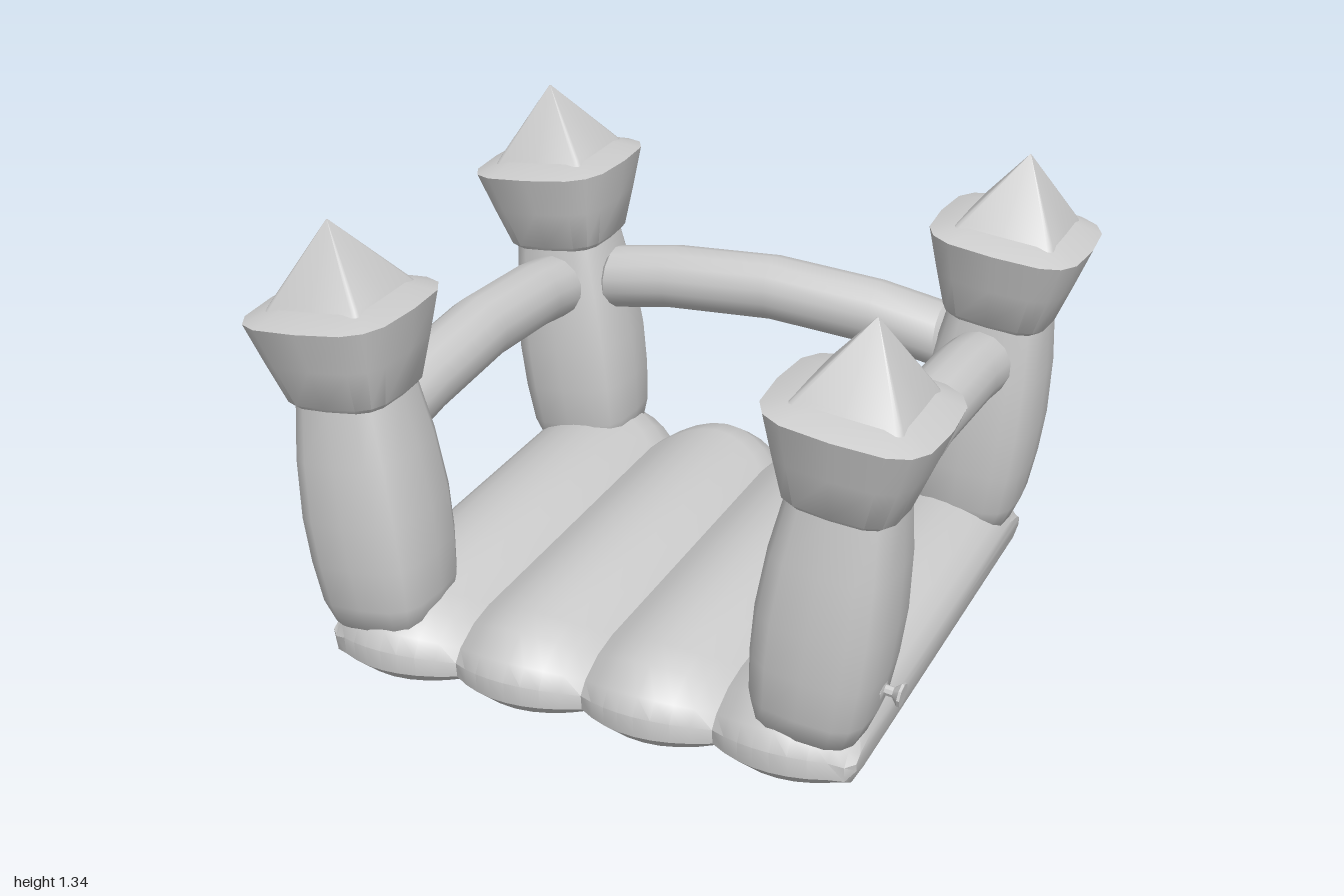
import * as THREE from 'three';
import { toCreasedNormals } from 'three/addons/utils/BufferGeometryUtils.js';

const material = new THREE.MeshStandardMaterial({ color: 0xcccccc });

// Skin a row of closed rings (counter-clockwise seen from the far end) and cap both ends
function loft(rings, crease) {
  const n = rings[0].length, pos = rings.flat(), idx = [];
  const last = (rings.length - 1) * n;
  for (let i = 0; i < last; i += n) {
    for (let j = 0; j < n; j++) {
      const k = (j + 1) % n;
      idx.push(i + j, i + k, i + n + k, i + j, i + n + k, i + n + j);
    }
  }
  const middle = (ring) => [0, 1, 2].map((a) => ring.reduce((s, p) => s + p[a], 0) / n);
  const c0 = pos.length, c1 = c0 + 1;
  const all = [...pos, middle(rings[0]), middle(rings[rings.length - 1])];
  for (let j = 0; j < n; j++) {
    const k = (j + 1) % n;
    idx.push(c0, k, j, c1, last + j, last + k);
  }
  const g = new THREE.BufferGeometry();
  g.setAttribute('position', new THREE.Float32BufferAttribute(all.flat(), 3));
  g.setIndex(idx);
  return toCreasedNormals(g, crease);
}

function add(parent, name, geometry) {
  const mesh = new THREE.Mesh(geometry, material);
  mesh.name = name;
  parent.add(mesh);
  return mesh;
}

// Horizontal rounded-square ring; a higher power gives squarer corners
function squareRing(y, half, power) {
  const ring = [];
  for (let j = 0; j < 16; j++) {
    const a = (j / 16) * Math.PI * 2;
    const f = (v) => (Math.abs(v) < 1e-6 ? 0 : Math.sign(v) * Math.abs(v) ** (2 / power) * half);
    ring.push([f(Math.sin(a)), y, f(Math.cos(a))]);
  }
  return ring;
}

// Inflated floor: four scalloped cushions running front to back
function floorGeometry() {
  const half = [[0, 1], [-0.2, 1], [-0.11, 0.92], [-0.03, 0.7], [0, 0.5], [-0.005, 0.22], [-0.06, 0]];
  const section = (x, h, d, low) => {
    const front = half.map(([dz, f], i) => [x, low + (h - low) * f, i ? d + dz : 0]);
    const back = front.slice(1).reverse().map(([px, y, z]) => [px, y, -z]);
    return [...front, [x, 0 + low, 0], ...back];
  };
  const rings = [];
  const steps = 8;
  for (let i = 1; i < 4 * steps; i++) {
    const x = -0.8 + (i / steps) * 0.4;
    const t = ((i % steps) / steps) * 2 - 1;
    const bulge = 1 - t * t;
    rings.push(section(x, 0.17 + 0.07 * bulge, 0.75 + 0.08 * bulge, 0));
  }
  // rounded outer flanks
  const flank = (s) => [section(s * 0.79, 0.168, 0.765, 0), section(s * 0.815, 0.13, 0.74, 0.045)];
  return loft([...flank(-1).reverse(), ...rings, ...flank(1)], 0.65);
}

// Arched tube along x with blunt rounded ends
function archGeometry(length, radius) {
  const stations = [[-length - 0.04, 0.55], [-length, 1], [-0.35, 1], [0, 1], [0.35, 1], [length, 1], [length + 0.04, 0.55]];
  const rings = stations.map(([x, s]) => {
    const ring = [];
    for (let j = 0; j < 14; j++) {
      const a = (j / 14) * Math.PI * 2;
      ring.push([x, -0.19 * x * x + Math.cos(a) * radius * s, Math.sin(a) * radius * s]);
    }
    return ring;
  });
  return loft(rings, 0.75);
}

export function createModel() {
  const model = new THREE.Group();
  model.name = 'bouncyCastle';
  add(model, 'inflatedFloor', floorGeometry());

  // Corner towers, leaning outward: shaft, flared collar and pointed roof
  const shaft = loft([[-0.05, 0.12], [-0.025, 0.15], [0.05, 0.172], [0.18, 0.183], [0.32, 0.186],
    [0.5, 0.174], [0.67, 0.15]].map(([y, r]) => squareRing(y, r, 3.4)), 0.8);
  const collar = loft([[0.655, 0.145], [0.675, 0.165], [0.8, 0.202], [0.925, 0.237], [0.955, 0.16]]
    .map(([y, r]) => squareRing(y, r, 3.6)), 0.6);
  const roof = loft([[0.93, 0.165], [0.965, 0.143], [1.168, 0.002]]
    .map(([y, r]) => squareRing(y, r, 16)), 0.6);
  for (const sx of [-1, 1]) {
    for (const sz of [-1, 1]) {
      const tower = new THREE.Group();
      tower.name = (sz > 0 ? 'front' : 'back') + (sx > 0 ? 'Left' : 'Right') + 'Tower';
      tower.position.set(sx * 0.662, 0.18, sz * 0.647);
      tower.rotation.z = -sx * 0.112;
      add(tower, 'shaft', shaft);
      add(tower, 'collar', collar);
      add(tower, 'roof', roof);
      model.add(tower);
    }
  }

  // Arched tubes at the back and both sides; the front stays open
  add(model, 'backArch', archGeometry(0.56, 0.102)).position.set(0, 0.787, -0.632);
  const side = archGeometry(0.49, 0.104);
  for (const sx of [-1, 1]) {
    const arch = add(model, sx > 0 ? 'leftArch' : 'rightArch', side);
    arch.position.set(sx * 0.718, 0.765, 0);
    arch.rotation.y = Math.PI / 2;
  }

  // Air valve on the outside of the front left tower
  const profile = [[0, -0.03], [0.03, -0.03], [0.034, 0.02], [0.03, 0.032], [0.015, 0.036], [0.015, 0.06],
    [0.034, 0.078], [0.034, 0.086], [0, 0.086]].map(([r, y]) => new THREE.Vector2(r, y));
  const valve = add(model, 'airValve', toCreasedNormals(new THREE.LatheGeometry(profile, 8), 0.6));
  valve.position.set(0.82, 0.285, 0.65);
  valve.rotation.z = -Math.PI / 2 - 0.1;

  return model;
}
